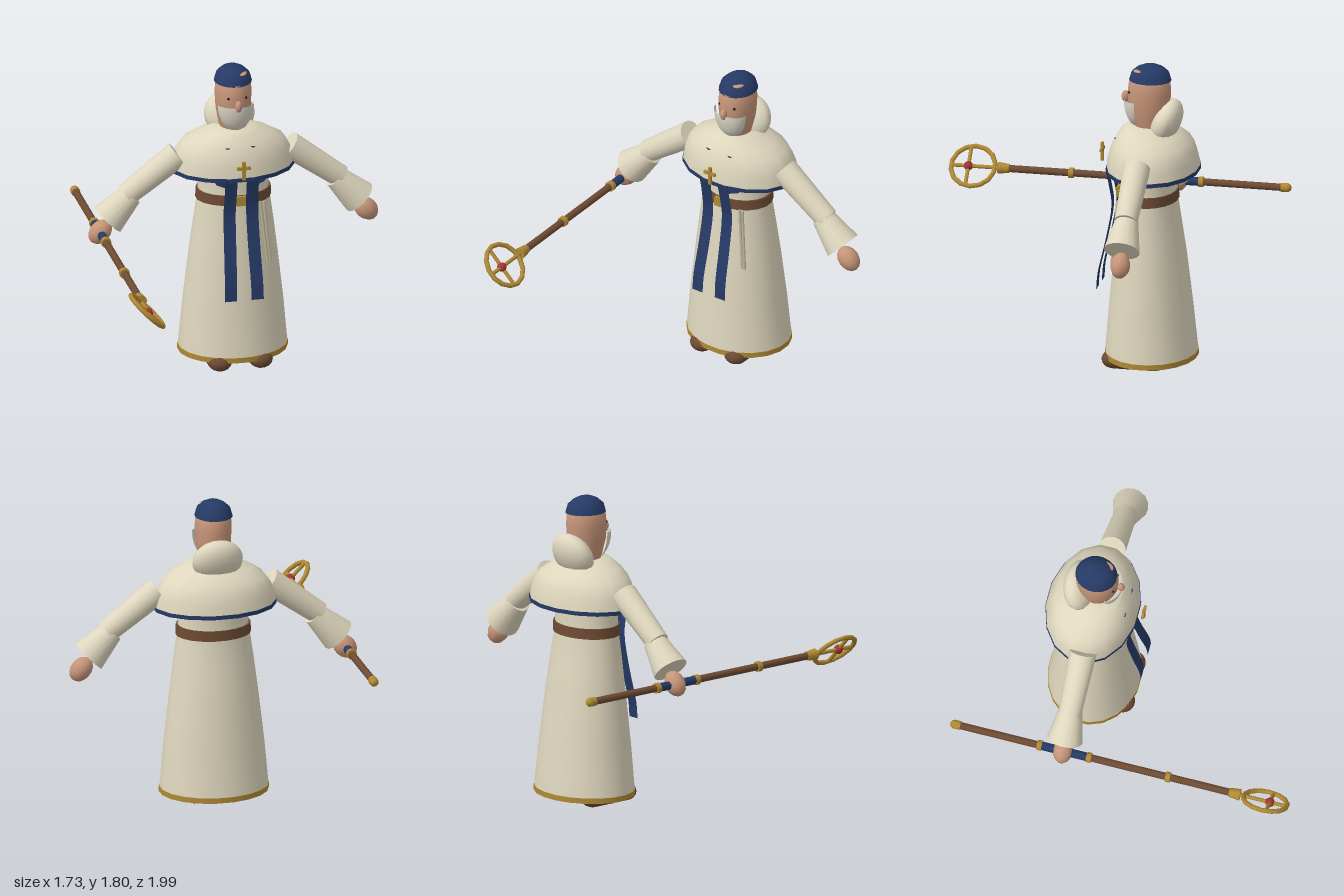
import * as THREE from 'three';
import { mergeVertices, toCreasedNormals } from 'three/addons/utils/BufferGeometryUtils.js';

const CX = 0.015; // body axis
const CZ = -0.333; // shoulder depth

const paint = (name, color, side = THREE.FrontSide) => {
  const m = new THREE.MeshStandardMaterial({ color, side });
  m.name = name;
  return m;
};

// Elliptical loft; rings are [y, radiusX, radiusZ, centreZ], listed upwards
function loft(rings, segments = 20) {
  const geo = new THREE.LatheGeometry(rings.map((r) => new THREE.Vector2(1, r[0])), segments);
  const p = geo.attributes.position;
  for (let i = 0; i < p.count; i++) {
    const [y, rx, rz, cz] = rings[i % rings.length];
    const a = ((Math.floor(i / rings.length) % segments) + 0.5) / segments * Math.PI * 2;
    p.setXYZ(i, Math.sin(a) * rx, y, cz + Math.cos(a) * rz);
  }
  geo.deleteAttribute('uv');
  geo.deleteAttribute('normal');
  return toCreasedNormals(mergeVertices(geo), 0.8);
}

export function createModel() {
  const model = new THREE.Group();
  model.name = 'robedFigure';
  const cloth = paint('cream cloth', 0xded6bd, THREE.DoubleSide);
  const navy = paint('navy cloth', 0x263a66, THREE.DoubleSide);
  const gold = paint('gold', 0xb08a35);
  const skin = paint('skin', 0xc8967a);
  const brown = paint('brown leather and wood', 0x6e4b33);
  const white = paint('beard white', 0xdcd7c8, THREE.DoubleSide);
  const cordTone = paint('cord beige', 0xbdb498);
  const red = paint('gem red', 0xa83232);
  const black = paint('eye black', 0x1c1a1a);

  const add = (name, geo, mat, x = 0, y = 0, z = 0, parent = model) => {
    const m = new THREE.Mesh(geo, mat);
    m.name = name;
    m.position.set(x, y, z);
    parent.add(m);
    return m;
  };
  const ball = (name, mat, pos, size, parent = model, w = 16, h = 12) => {
    const m = add(name, new THREE.SphereGeometry(1, w, h), mat, ...pos, parent);
    m.scale.set(...size);
    return m;
  };
  // Tapered cylinder between two points
  const rod = (name, mat, a, b, ra, rb, parent = model, segments = 12) => {
    const A = new THREE.Vector3(...a), B = new THREE.Vector3(...b);
    const d = B.clone().sub(A);
    const m = add(name, new THREE.CylinderGeometry(rb, ra, d.length(), segments), mat, 0, 0, 0, parent);
    m.position.copy(A).add(B).multiplyScalar(0.5);
    m.quaternion.setFromUnitVectors(new THREE.Vector3(0, 1, 0), d.normalize());
    return m;
  };
  const plate = (name, mat, pts, z) => add(name, new THREE.ExtrudeGeometry(
    new THREE.Shape(pts.map((p) => new THREE.Vector2(...p))), { depth: 0.006, bevelEnabled: false }), mat, CX, 0, z);

  // Robe, hem and belt
  add('robe', loft([
    [0.09, 0.314, 0.264, -0.35], [0.35, 0.291, 0.24, -0.347], [0.65, 0.257, 0.208, -0.343],
    [0.85, 0.232, 0.183, -0.338], [1.0, 0.211, 0.163, -0.335], [1.08, 0.203, 0.16, -0.335], [1.2, 0.205, 0.16, -0.335],
  ]), cloth, CX);
  add('hem', loft([
    [0.063, 0, 0, -0.35], [0.063, 0.317, 0.266, -0.35], [0.094, 0.317, 0.266, -0.35], [0.094, 0, 0, -0.35],
  ]), gold, CX);
  add('belt', loft([
    [1.0, 0.2, 0.15, -0.335], [1.0, 0.218, 0.17, -0.335], [1.06, 0.216, 0.168, -0.335], [1.06, 0.2, 0.15, -0.335],
  ]), brown, CX);
  add('buckle', new THREE.BoxGeometry(0.075, 0.056, 0.025), gold, 0.02, 1.03, -0.163);

  // Shoes
  for (const s of [-1, 1]) {
    const shoe = add('shoe', new THREE.CapsuleGeometry(0.07, 0.235, 6, 14), brown, CX + s * 0.119, 0.055, -0.272);
    shoe.rotation.x = Math.PI / 2;
    shoe.scale.z = 0.78;
  }

  // Shoulder cape with navy border
  add('cape', loft([
    [1.195, 0.356, 0.264, -0.36], [1.25, 0.346, 0.256, -0.358], [1.3, 0.328, 0.241, -0.356], [1.345, 0.295, 0.22, -0.352],
    [1.39, 0.225, 0.177, -0.335], [1.42, 0.155, 0.135, -0.32], [1.435, 0.12, 0.12, -0.32], [1.435, 0, 0, -0.32],
  ], 16), cloth, CX);
  add('capeBorder', loft([
    [1.172, 0, 0, -0.36], [1.172, 0.359, 0.267, -0.36], [1.195, 0.359, 0.267, -0.36], [1.195, 0, 0, -0.36],
  ], 16), navy, CX);
  const hood = ball('hood', cloth, [CX, 1.465, -0.435], [0.148, 0.135, 0.083]);
  hood.rotation.x = -0.42;

  // Stole: curved hanging strips, small chest marks and inner folds
  for (const s of [-1, 1]) {
    const curve = new THREE.CatmullRomCurve3([
      [0.062, 1.185, -0.1], [0.063, 1.08, -0.122], [0.066, 0.97, -0.137],
      [0.07, 0.77, -0.105], [0.076, 0.56, -0.058], [0.078, 0.462, -0.05],
    ].map(([x, y, z]) => new THREE.Vector3(CX + s * x, y, z)));
    const strip = new THREE.PlaneGeometry(1, 1, 1, 20);
    const p = strip.attributes.position;
    for (let i = 0; i < p.count; i++) {
      const c = curve.getPoint(0.5 - p.getY(i));
      p.setXYZ(i, c.x + p.getX(i) * 0.071, c.y, c.z);
    }
    strip.computeVertexNormals();
    add('stoleStrip', strip, navy);
    plate('chestMark', navy, [[s * 0.09, 1.365], [s * 0.04, 1.365], [s * 0.045, 1.345]], -0.155);
    plate('innerFold', navy, [[s * 0.16, 1.18], [s * 0.05, 1.18], [s * 0.06, 1.11], [s * 0.14, 1.145]], -0.155);
  }

  // Pendant cross
  const cross = new THREE.Group();
  cross.name = 'pendantCross';
  cross.position.set(CX, 1.255, -0.062);
  model.add(cross);
  add('crossUpright', new THREE.BoxGeometry(0.018, 0.11, 0.015), gold, 0, 0, 0, cross);
  add('crossBar', new THREE.BoxGeometry(0.078, 0.018, 0.015), gold, 0, 0.016, 0, cross);

  // Cord hanging from the belt
  for (const dx of [0, 0.02]) {
    rod('beltCord', cordTone, [0.138 + dx, 1.01, -0.18], [0.176 + dx * 0.75, 0.645, -0.155], 0.008, 0.009, model, 8);
  }

  // Head, beard, nose and eyes
  add('head', loft([
    [1.4, 0.07, 0.08, -0.34], [1.46, 0.085, 0.097, -0.338], [1.55, 0.1, 0.12, -0.335], [1.64, 0.105, 0.124, -0.336],
    [1.71, 0.1, 0.117, -0.338], [1.755, 0.075, 0.09, -0.34], [1.78, 0, 0, -0.34],
  ]), skin, CX);
  const beard = add('beard', new THREE.SphereGeometry(1, 20, 12, 0, Math.PI, Math.PI * 0.5, Math.PI * 0.5), white, CX, 1.59, -0.268);
  beard.scale.set(0.105, 0.165, 0.078);
  ball('nose', skin, [CX, 1.597, -0.196], [0.02, 0.034, 0.022]);
  for (const s of [-1, 1]) ball('eye', black, [CX + s * 0.05, 1.636, -0.231], [0.009, 0.009, 0.009], model, 8, 6);

  // Skullcap with a small bare patch
  add('skullcap', loft([
    [1.705, 0.1, 0.115, -0.341], [1.705, 0.108, 0.121, -0.341], [1.75, 0.095, 0.108, -0.341],
    [1.777, 0.066, 0.078, -0.342], [1.793, 0.035, 0.042, -0.343], [1.798, 0, 0, -0.343],
  ]), navy, CX);
  ball('barePatch', skin, [0.05, 1.763, -0.3], [0.035, 0.011, 0.05]);

  // Arms, mirrored about the body axis
  for (const s of [-1, 1]) {
    const arm = new THREE.Group();
    arm.name = s > 0 ? 'leftArm' : 'rightArm';
    arm.position.set(CX, 0, CZ);
    model.add(arm);
    rod('upperSleeve', cloth, [s * 0.325, 1.28, 0], [s * 0.625, 1.057, 0], 0.078, 0.066, arm, 16);
    rod('lowerSleeve', cloth, [s * 0.61, 1.07, 0], [s * 0.72, 0.905, 0], 0.066, 0.103, arm, 16)
      .quaternion.setFromEuler(new THREE.Euler(0, 0, s * (Math.PI / 4) + Math.PI));
    const hand = ball('hand', skin, [s * 0.776, 0.845, 0], [0.062, 0.078, 0.057], arm, 10, 8);
    hand.rotation.z = s * 0.75;
  }

  // Staff lying along the z axis
  const staff = new THREE.Group();
  staff.name = 'staff';
  staff.position.set(-0.763, 0.842, 0);
  model.add(staff);
  const along = (name, mat, z0, z1, r0, r1 = r0) => rod(name, mat, [0, 0, z0], [0, 0, z1], r0, r1, staff);
  along('shaft', brown, -0.96, 0.67, 0.021);
  along('grip', navy, -0.47, -0.18, 0.025);
  for (const z of [-0.47, -0.18, 0.285]) along('staffBand', gold, z - 0.014, z + 0.014, 0.03);
  along('endCap', gold, -0.975, -0.935, 0.026);
  ball('endKnob', gold, [0, 0, -0.97], [0.025, 0.025, 0.025], staff);
  along('headSocket', gold, 0.645, 0.71, 0.026, 0.034);

  // Wheel at the staff head, tilted 45 degrees
  const wheel = new THREE.Group();
  wheel.name = 'staffWheel';
  wheel.position.z = 0.857;
  wheel.rotation.z = -Math.PI / 4;
  staff.add(wheel);
  add('wheelRim', new THREE.TorusGeometry(0.128, 0.014, 8, 14), gold, 0, 0, 0, wheel).rotation.x = Math.PI / 2;
  rod('longSpoke', gold, [0, 0, -0.16], [0, 0, 0.128], 0.011, 0.011, wheel);
  rod('crossSpoke', gold, [-0.125, 0, 0.027], [0.125, 0, 0.027], 0.011, 0.011, wheel);
  ball('gem', red, [0, 0, 0.027], [0.027, 0.027, 0.027], wheel);

  return model;
}
